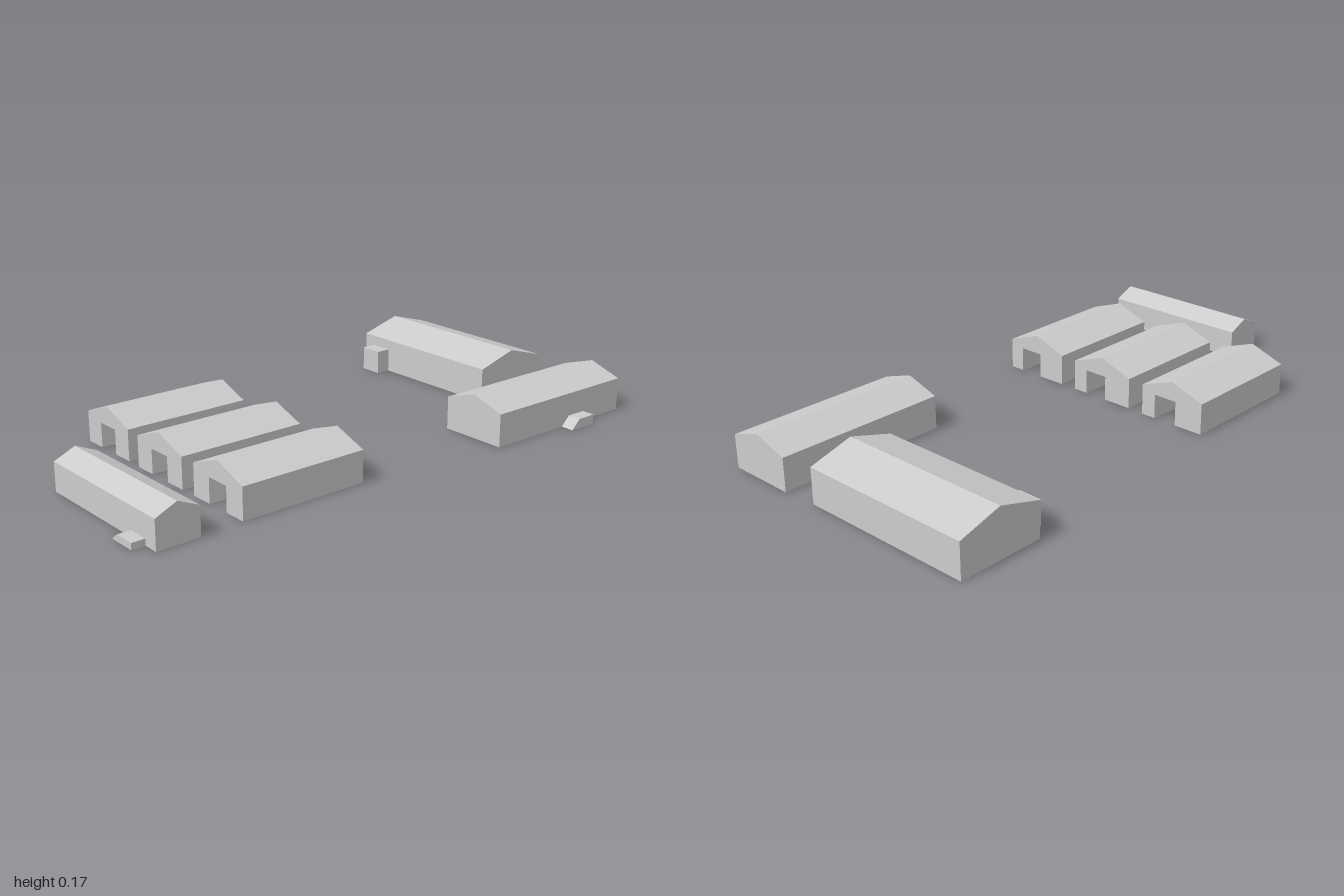
import * as THREE from 'three';

const wallGrey = new THREE.MeshStandardMaterial({ color: 0xcccccc, side: THREE.DoubleSide });
wallGrey.name = 'wallGrey';

// Hollow prism along z from a counter-clockwise profile; edges on the ground stay open.
function shell(front, length, back = front) {
  const pos = [];
  const put = (p, z) => pos.push(p[0], p[1], z);
  const z = length / 2;
  const n = front.length;
  for (let i = 0; i < n; i++) {
    const j = (i + 1) % n;
    if (front[i][1] === 0 && front[j][1] === 0) continue;
    put(front[i], z); put(back[i], -z); put(back[j], -z);
    put(front[i], z); put(back[j], -z); put(front[j], z);
  }
  const contour = pts => pts.map(p => new THREE.Vector2(p[0], p[1]));
  for (const [a, b, c] of THREE.ShapeUtils.triangulateShape(contour(front), [])) {
    put(front[a], z); put(front[b], z); put(front[c], z);
  }
  for (const [a, b, c] of THREE.ShapeUtils.triangulateShape(contour(back), [])) {
    put(back[a], -z); put(back[c], -z); put(back[b], -z);
  }
  const geo = new THREE.BufferGeometry();
  geo.setAttribute('position', new THREE.Float32BufferAttribute(pos, 3));
  geo.computeVertexNormals();
  return geo;
}

// Gabled house profile
const gable = (w, eave, ridge) =>
  [[-w / 2, 0], [w / 2, 0], [w / 2, eave], [0, ridge], [-w / 2, eave]];

// Gabled profile with a doorway notch, shifted sideways by dx
const gableWithDoor = (w, eave, ridge, doorW, doorH, dx) => [
  [-w / 2, 0], [dx - doorW / 2, 0], [dx - doorW / 2, doorH],
  [dx + doorW / 2, doorH], [dx + doorW / 2, 0],
  [w / 2, 0], [w / 2, eave], [0, ridge], [-w / 2, eave],
];

export function createModel() {
  const model = new THREE.Group();
  model.name = 'farmBuildings';
  const add = (name, geo, x, z, turned = false) => {
    const mesh = new THREE.Mesh(geo, wallGrey);
    mesh.name = name;
    mesh.position.set(x, 0, z);
    if (turned) mesh.rotation.y = Math.PI / 2;
    model.add(mesh);
  };

  // Long rear hall with a boxy porch
  add('rearHall', shell(gable(0.31, 0.125, 0.17), 0.64), -0.21, -0.835, true);
  add('rearHallPorch',
    shell([[-0.0425, 0], [0.0425, 0], [0.0425, 0.087], [-0.0425, 0.087]], 0.055), -0.44, -0.6525);

  // Rear side hall with a low ramp on its outer wall
  add('sideHall', shell(gable(0.246, 0.117, 0.157), 0.62), 0.356, -0.69);
  add('sideHallRamp',
    shell([[-0.055, 0], [0.055, 0], [0.055, 0.034], [-0.02, 0.034]], 0.048), 0.503, -0.755, true);

  // Three barns, each with a slightly skewed drive-through passage
  const barn = shell(
    gableWithDoor(0.25, 0.11, 0.155, 0.088, 0.087, 0), 0.467,
    gableWithDoor(0.25, 0.11, 0.155, 0.088, 0.087, 0.027));
  [[-0.331, 0.409], [-0.018, 0.412], [0.294, 0.411]].forEach(([x, z], i) =>
    add(`barn${i + 1}`, barn, x, z));

  // Narrow front shed with a low ramp
  add('frontShed', shell(gable(0.152, 0.1, 0.133), 0.562), 0.15, 0.877, true);
  add('frontShedRamp',
    shell([[-0.051, 0], [0.051, 0], [0.051, 0.022], [-0.024, 0.022]], 0.047), 0.327, 0.9765);

  return model;
}
